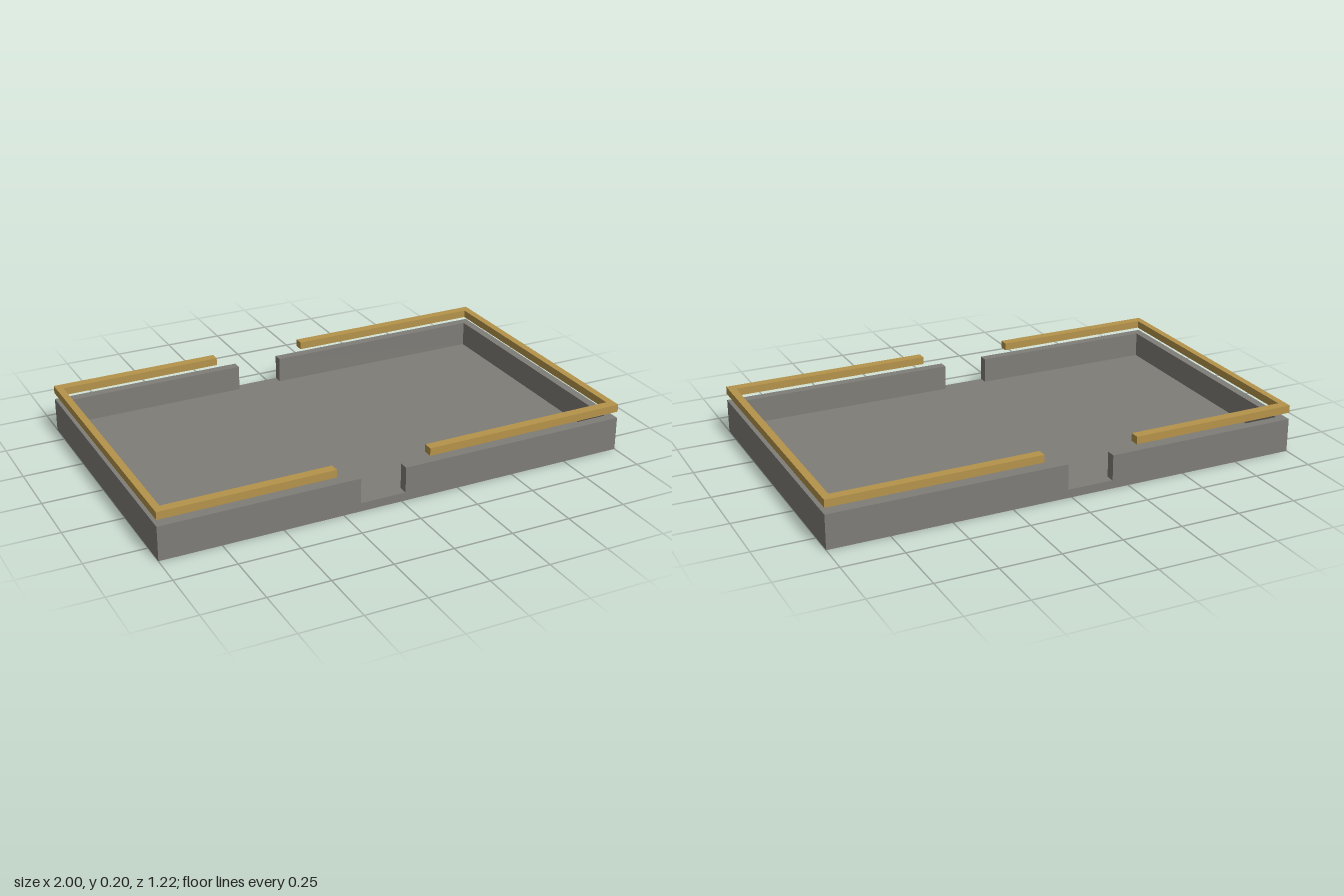
import * as THREE from 'three';

// Extrudes a plan outline of [x, z] points from height y0 to y1.
function slab(name, points, y0, y1, material) {
  const shape = new THREE.Shape(points.map(([x, z]) => new THREE.Vector2(x, -z)));
  const geometry = new THREE.ExtrudeGeometry(shape, { depth: y1 - y0, bevelEnabled: false });
  geometry.rotateX(-Math.PI / 2).translate(0, y0, 0);
  const mesh = new THREE.Mesh(geometry, material);
  mesh.name = name;
  return mesh;
}

// C-shaped outline: outer end at xEnd, arms reaching to xGap.
// back and front give the outer z at the end and at the gap.
function bracket(xEnd, xGap, back, front, thickX, thickZ) {
  const xIn = xEnd - Math.sign(xEnd) * thickX;
  return [
    [xGap, back[1]], [xEnd, back[0]], [xEnd, front[0]], [xGap, front[1]],
    [xGap, front[1] - thickZ], [xIn, front[0] - thickZ],
    [xIn, back[0] + thickZ], [xGap, back[1] + thickZ],
  ];
}

export function createModel() {
  const group = new THREE.Group();
  group.name = 'walledPlatform';
  const stone = new THREE.MeshStandardMaterial({ color: 0x7f7d78 });
  stone.name = 'grey stone';
  const brass = new THREE.MeshStandardMaterial({ color: 0xb5934a });
  brass.name = 'golden rail';

  // Floor, slightly skewed in plan
  const floor = [[-1, -0.6], [1, -0.607], [1, 0.595], [-1, 0.605]];
  group.add(slab('floor', floor, 0, 0.035, stone));

  // Low walls with an opening at front and back
  group.add(slab('rightWall', bracket(-1, -0.178, [-0.6, -0.605], [0.605, 0.602], 0.035, 0.04), 0.035, 0.142, stone));
  group.add(slab('leftWall', bracket(1, 0.016, [-0.607, -0.603], [0.595, 0.6], 0.035, 0.04), 0.035, 0.142, stone));

  // Floating rails above the walls, with wider openings
  group.add(slab('rightRail', bracket(-1, -0.28, [-0.6, -0.607], [0.606, 0.601], 0.029, 0.04), 0.17, 0.202, brass));
  group.add(slab('leftRail', bracket(1, 0.12, [-0.61, -0.603], [0.595, 0.601], 0.031, 0.04), 0.17, 0.202, brass));

  return group;
}
